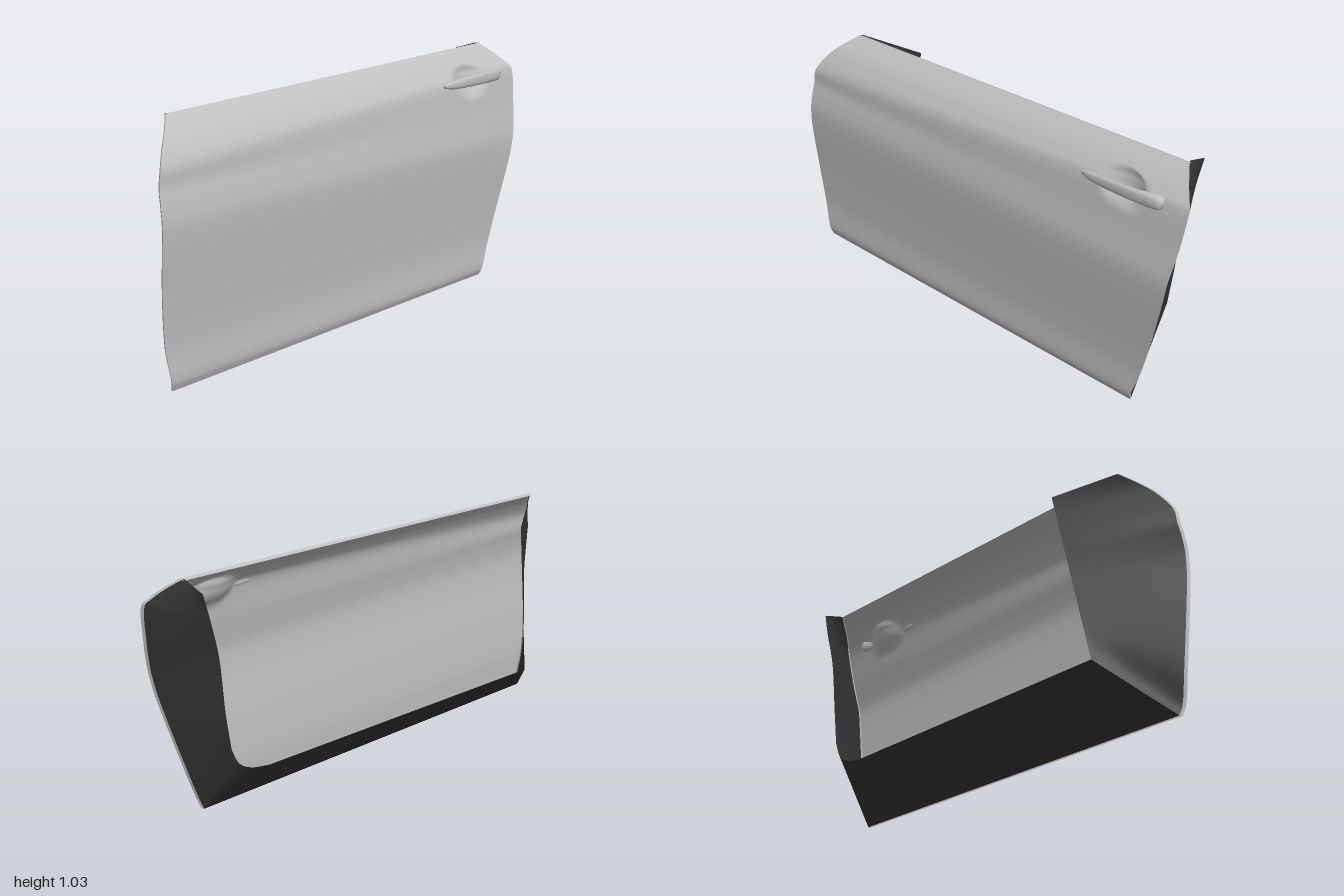
import * as THREE from 'three';

const N = 66; // samples from sill to waistline
const M = 110; // samples from front to back

const paint = new THREE.MeshStandardMaterial({ name: 'grey paint', color: 0xbfbfbf, side: THREE.DoubleSide });
const dark = new THREE.MeshStandardMaterial({ name: 'dark jamb', color: 0x353535, side: THREE.DoubleSide });

// Smooth curve through [x, y, z] points, sampled evenly per control point
const spline = (pts, n) =>
  new THREE.CatmullRomCurve3(pts.map((p) => new THREE.Vector3(...p)), false, 'catmullrom', 0.5).getPoints(n);

// Smooth surface through rows of points
function surface(name, rows, material) {
  const cols = rows[0].length;
  const index = [];
  for (let j = 0; j < rows.length - 1; j++) {
    for (let i = 0; i < cols - 1; i++) {
      const a = j * cols + i, c = a + cols;
      index.push(a, a + 1, c, a + 1, c + 1, c);
    }
  }
  const g = new THREE.BufferGeometry().setFromPoints(rows.flat());
  g.setIndex(index);
  g.computeVertexNormals();
  const mesh = new THREE.Mesh(g, material);
  mesh.name = name;
  return mesh;
}

// Ruled rows between two matching edges
const ruled = (from, to, n) =>
  from.map((p, j) => Array.from({ length: n + 1 }, (_, i) => p.clone().lerp(to[j], i / n)));

const shifted = (pts, x, y, z) => pts.map((p) => p.clone().add(new THREE.Vector3(x, y, z)));

export function createModel() {
  const door = new THREE.Group();
  door.name = 'door';

  // Front and back edges of the outer panel, bottom to top
  const front = spline([
    [0.12, 0.004, 0.95], [0.131, 0.05, 0.96], [0.127, 0.17, 0.98], [0.138, 0.35, 0.994],
    [0.153, 0.52, 1], [0.157, 0.62, 0.999], [0.148, 0.69, 0.996], [0.135, 0.75, 0.99],
    [0.131, 0.81, 0.98], [0.1, 0.87, 0.945], [0.06, 0.92, 0.9], [-0.005, 0.97, 0.84],
  ], N);
  const back = spline([
    [0.115, 0.03, -0.8], [0.127, 0.07, -0.81], [0.125, 0.19, -0.85], [0.138, 0.37, -0.9],
    [0.153, 0.53, -0.94], [0.157, 0.63, -0.96], [0.148, 0.7, -0.973], [0.135, 0.78, -0.985],
    [0.114, 0.915, -0.997], [0.09, 0.955, -0.975], [0.05, 0.995, -0.94], [0, 1.035, -0.9],
  ], N);

  // Outer panel with a shallow bowl pressed in behind the handle
  const rows = ruled(front, back, M);
  for (const p of rows.flat()) {
    const d = ((p.z + 0.71) / 0.11) ** 2 + ((p.y - 0.905) / 0.062) ** 2;
    if (d < 1) p.x -= 0.035 * (1 - d);
  }
  door.add(surface('outerPanel', rows, paint));

  // Folded hems around the panel edges
  const frontHem = shifted(front, -0.012, 0, -0.006);
  const backHem = shifted(back, -0.012, 0, 0.006);
  door.add(surface('frontHem', ruled(frontHem, front, 1), paint));
  door.add(surface('backHem', ruled(back, backHem, 1), paint));
  door.add(surface('topHem', ruled([front[N], front[N].clone().add(new THREE.Vector3(-0.015, -0.006, 0))],
    [back[N], back[N].clone().add(new THREE.Vector3(-0.015, -0.006, 0))], 1), paint));

  // Front jamb
  const frontInner = spline([[-0.11, 0.215, 0.75], [-0.135, 0.56, 0.69], [-0.16, 0.905, 0.63]], N);
  door.add(surface('frontJamb', ruled(frontInner, frontHem, 6), dark));

  // Back jamb
  const backInner = spline([
    [-0.09, 0.36, -0.785], [-0.092, 0.52, -0.805], [-0.1, 0.74, -0.825], [-0.11, 0.9, -0.86], [-0.11, 1.005, -0.885],
  ], N);
  door.add(surface('backJamb', ruled(backHem, backInner, 6), dark));

  // Rounded lower back corner
  const corner = spline([[-0.09, 0.24, -0.62], [-0.09, 0.258, -0.7], [-0.09, 0.295, -0.755], [-0.09, 0.36, -0.785]], 12);
  door.add(surface('lowerCorner', ruled(corner.map(() => backHem[0]), corner, 1), dark));

  // Sloping underside
  door.add(surface('underside', ruled([backHem[0], corner[0]], [frontHem[0], frontInner[0]], 8), dark));

  // Pull handle: [z, x, y, half thickness, half height]
  const sections = [
    [-0.528, 0.12, 0.903, 0.001, 0.001], [-0.533, 0.121, 0.903, 0.009, 0.009], [-0.57, 0.125, 0.904, 0.014, 0.017],
    [-0.63, 0.132, 0.907, 0.012, 0.021], [-0.71, 0.135, 0.91, 0.011, 0.023], [-0.79, 0.133, 0.913, 0.012, 0.025],
    [-0.84, 0.126, 0.915, 0.018, 0.027], [-0.875, 0.12, 0.916, 0.022, 0.027], [-0.889, 0.117, 0.916, 0.018, 0.02],
    [-0.893, 0.115, 0.916, 0.001, 0.001],
  ];
  const soft = (v) => Math.sign(v) * Math.abs(v) ** 0.8;
  const rings = sections.map(([z, x, y, rx, ry]) => Array.from({ length: 25 }, (_, i) => {
    const a = (i / 24) * Math.PI * 2;
    return new THREE.Vector3(x + rx * soft(Math.cos(a)), y + ry * soft(Math.sin(a)), z);
  }));
  door.add(surface('handle', rings.reverse(), paint));

  return door;
}
